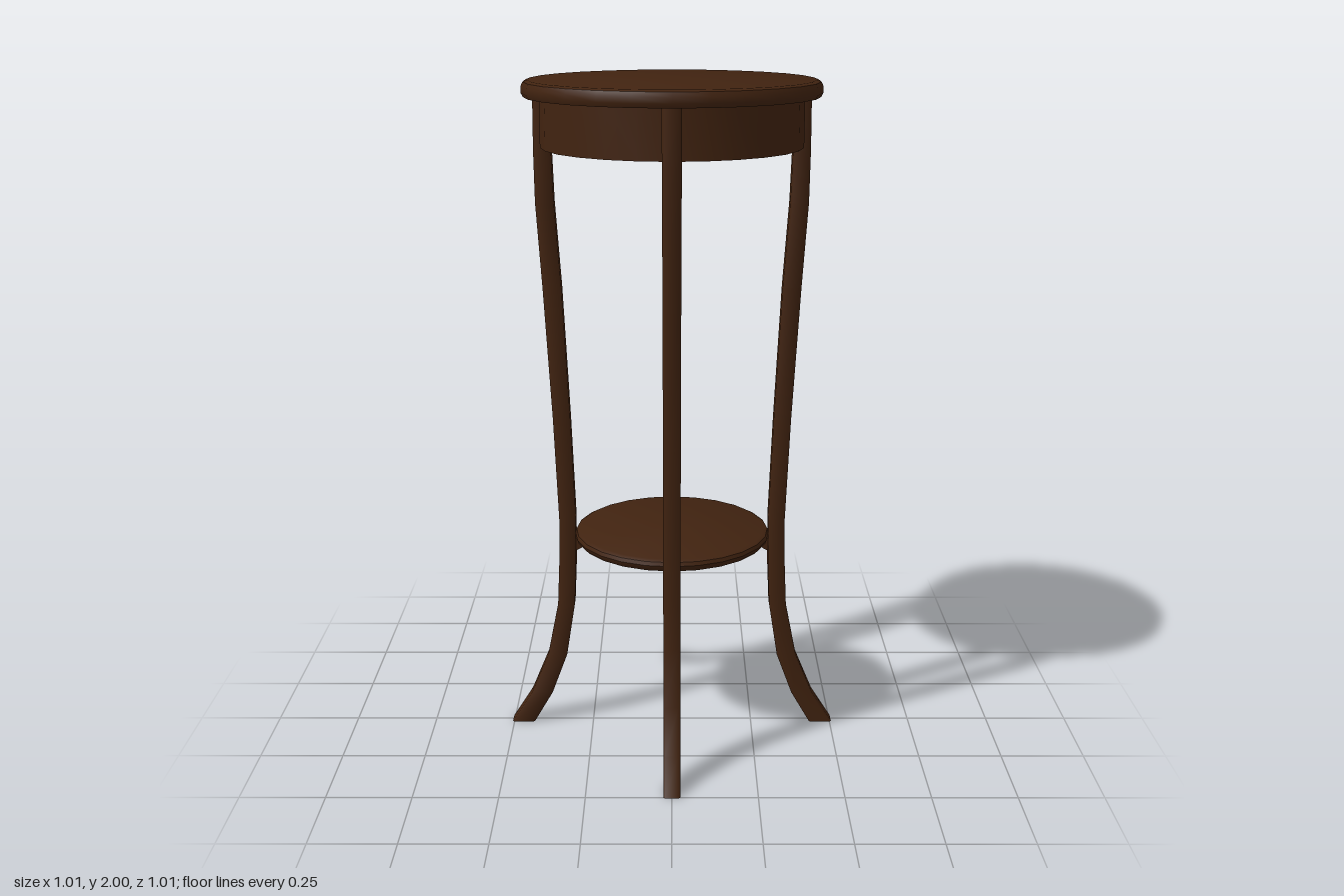
import * as THREE from 'three';
import { toCreasedNormals } from 'three/addons/utils/BufferGeometryUtils.js';

// Double-sided because the top, apron and shelf are open shells underneath
const wood = new THREE.MeshStandardMaterial({ color: 0x412310, side: THREE.DoubleSide });
wood.name = 'dark walnut';

function addMesh(parent, name, geometry) {
  const mesh = new THREE.Mesh(geometry, wood);
  mesh.name = name;
  parent.add(mesh);
  return mesh;
}

// Turned part from [radius, height] points, listed from bottom to top on the outside
function turned(points, sides) {
  const profile = points.map(([r, y]) => new THREE.Vector2(r, y));
  return toCreasedNormals(new THREE.LatheGeometry(profile, sides), 0.6);
}

// Leg sections: height, inner x, outer x, half width
const SECTIONS = [
  [0, 0.435, 0.505, 0.0245],
  [0.1, 0.377, 0.442, 0.0245],
  [0.23, 0.329, 0.388, 0.025],
  [0.4, 0.302, 0.354, 0.025],
  [0.53, 0.296, 0.348, 0.025],
  [0.68, 0.294, 0.345, 0.025],
  [1.0, 0.306, 0.358, 0.025],
  [1.4, 0.325, 0.38, 0.0255],
  [1.65, 0.342, 0.396, 0.026],
  [1.8, 0.347, 0.398, 0.0265],
  [1.955, 0.347, 0.397, 0.027],
];

// Loft of square horizontal sections with barely eased corners, closed at both ends
function legGeometry() {
  const sides = 8, ease = 0.005;
  const positions = [], index = [];
  for (const [y, inner, outer, w] of SECTIONS) {
    const ring = [
      [outer, w - ease], [outer - ease, w], [inner + ease, w], [inner, w - ease],
      [inner, ease - w], [inner + ease, -w], [outer - ease, -w], [outer, ease - w],
    ];
    for (const [x, z] of ring) positions.push(x, y, z);
  }
  for (let j = 0; j < SECTIONS.length - 1; j++) {
    for (let i = 0; i < sides; i++) {
      const a = j * sides + i, b = j * sides + (i + 1) % sides;
      index.push(a, a + sides, b, b, a + sides, b + sides);
    }
  }
  const top = (SECTIONS.length - 1) * sides;
  for (let i = 1; i < sides - 1; i++) {
    index.push(0, i, i + 1, top, top + i + 1, top + i);
  }
  const geometry = new THREE.BufferGeometry();
  geometry.setAttribute('position', new THREE.Float32BufferAttribute(positions, 3));
  geometry.setIndex(index);
  return toCreasedNormals(geometry, 0.9);
}

export function createModel() {
  const model = new THREE.Group();
  model.name = 'plantStand';

  // Round top: overhanging lip with an eased upper edge, open inside the apron
  addMesh(model, 'tableTop', turned([
    [0.379, 1.953], [0.424, 1.953], [0.43, 1.965], [0.43, 1.982],
    [0.424, 1.995], [0.412, 2], [0, 2],
  ], 26));

  // Thin ring below the top
  addMesh(model, 'apron', turned([[0.379, 1.81], [0.379, 1.953]], 26));

  // Lower shelf held between the legs, a shallow shell
  addMesh(model, 'shelf', turned([
    [0.285, 0.614], [0.293, 0.622], [0.297, 0.633],
    [0.293, 0.644], [0.282, 0.65], [0, 0.65],
  ], 24));

  // Four splayed legs, each with a small bracket under the shelf
  const leg = legGeometry();
  const bracketShape = new THREE.Shape();
  bracketShape.moveTo(0.26, 0.616);
  bracketShape.quadraticCurveTo(0.266, 0.582, 0.305, 0.574);
  bracketShape.lineTo(0.305, 0.616);
  bracketShape.closePath();
  const bracket = new THREE.ExtrudeGeometry(bracketShape, {
    depth: 0.03, bevelEnabled: false, curveSegments: 5,
  }).translate(0, 0, -0.015);
  for (let i = 0; i < 4; i++) {
    const unit = new THREE.Group();
    unit.name = 'legUnit' + (i + 1);
    addMesh(unit, 'leg', leg);
    addMesh(unit, 'shelfBracket', bracket);
    unit.rotation.y = i * Math.PI / 2;
    model.add(unit);
  }
  return model;
}
